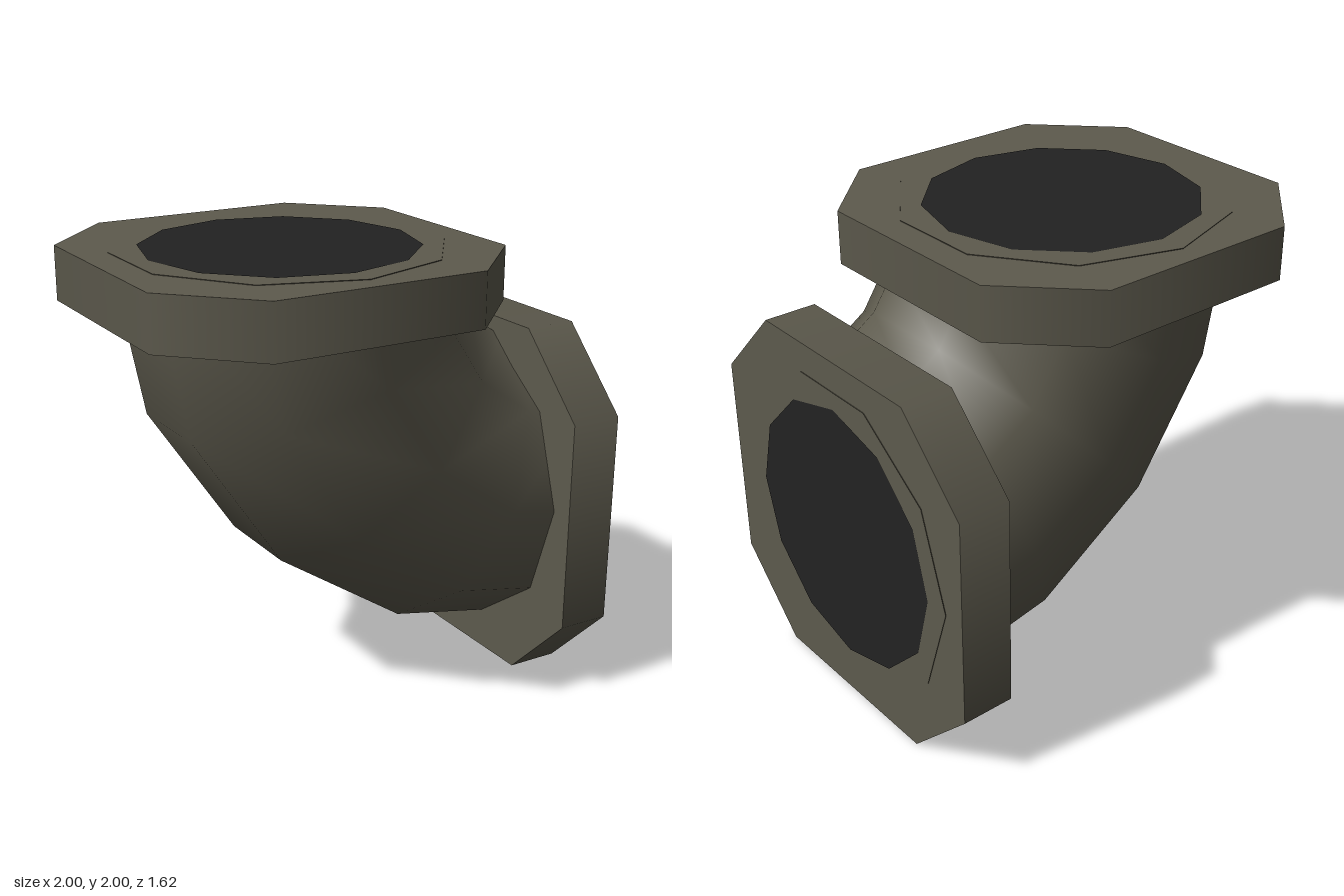
import * as THREE from 'three';

const BEND = 1.19;   // radius of the pipe's centre line
const PIPE = 0.71;   // pipe radius
const SIDES = 10;
const STEPS = 4;

// Quarter bend: a torus whose ten-sided section has its corners on the z axis
function bendGeometry() {
  const geometry = new THREE.TorusGeometry(BEND, PIPE, SIDES, STEPS, Math.PI / 2);
  const { position, normal } = geometry.attributes;
  for (let j = 0; j <= SIDES; j++) {
    const v = (j / SIDES) * Math.PI * 2 + Math.PI / 2;
    for (let i = 0; i <= STEPS; i++) {
      const u = (i / STEPS) * Math.PI / 2;
      const k = j * (STEPS + 1) + i;
      const r = BEND + PIPE * Math.cos(v);
      position.setXYZ(k, r * Math.cos(u), r * Math.sin(u), PIPE * Math.sin(v));
      normal.setXYZ(k, Math.cos(v) * Math.cos(u), Math.cos(v) * Math.sin(u), Math.sin(v));
    }
  }
  return geometry;
}

// Square flange with cut corners, smooth round the rim and flat on its faces
function flangeGeometry(half, flat, thickness) {
  const geometry = new THREE.CylinderGeometry(1, 1, thickness, 8, 1, false, Math.PI / 8);
  const { position, normal } = geometry.attributes;
  for (let i = 0; i < position.count; i++) {
    const x = position.getX(i), z = position.getZ(i);
    if (Math.hypot(x, z) < 0.1) continue; // cap centre
    const wide = Math.abs(x) > Math.abs(z);
    const nx = Math.sign(x) * (wide ? half : flat);
    const nz = Math.sign(z) * (wide ? flat : half);
    position.setXYZ(i, nx, position.getY(i), nz);
    if (Math.abs(normal.getY(i)) < 0.5) {
      const l = Math.hypot(nx, nz);
      normal.setXYZ(i, nx / l, 0, nz / l);
    }
  }
  return geometry;
}

export function createModel() {
  const metal = new THREE.MeshStandardMaterial({ color: 0x5d5a4d });
  metal.name = 'olive grey metal';
  const dark = new THREE.MeshStandardMaterial({ color: 0x222222 });
  dark.name = 'dark opening';

  const model = new THREE.Group();
  model.name = 'pipeElbow';

  const bend = new THREE.Mesh(bendGeometry(), metal);
  bend.name = 'bend';
  bend.position.set(1, 2, 0);
  bend.rotation.z = Math.PI;
  model.add(bend);

  // One pipe end: flange plus dark opening, with its outer face at local y = 0
  const thickness = 0.235;
  const flangeShape = flangeGeometry(0.81, 0.47, thickness);
  const openingShape = new THREE.CircleGeometry(0.595, 12).rotateX(-Math.PI / 2);
  function addEnd(name, x, y, tilt) {
    const end = new THREE.Group();
    end.name = name;
    const flange = new THREE.Mesh(flangeShape, metal);
    flange.name = name + 'Flange';
    flange.position.y = -thickness / 2;
    const opening = new THREE.Mesh(openingShape, dark);
    opening.name = name + 'Opening';
    opening.position.y = 0.003;
    end.add(flange, opening);
    end.position.set(x, y, 0);
    end.rotation.z = tilt;
    model.add(end);
  }
  addEnd('topEnd', -0.19, 1.997, 0);
  addEnd('sideEnd', 0.997, 0.81, -Math.PI / 2);

  return model;
}
